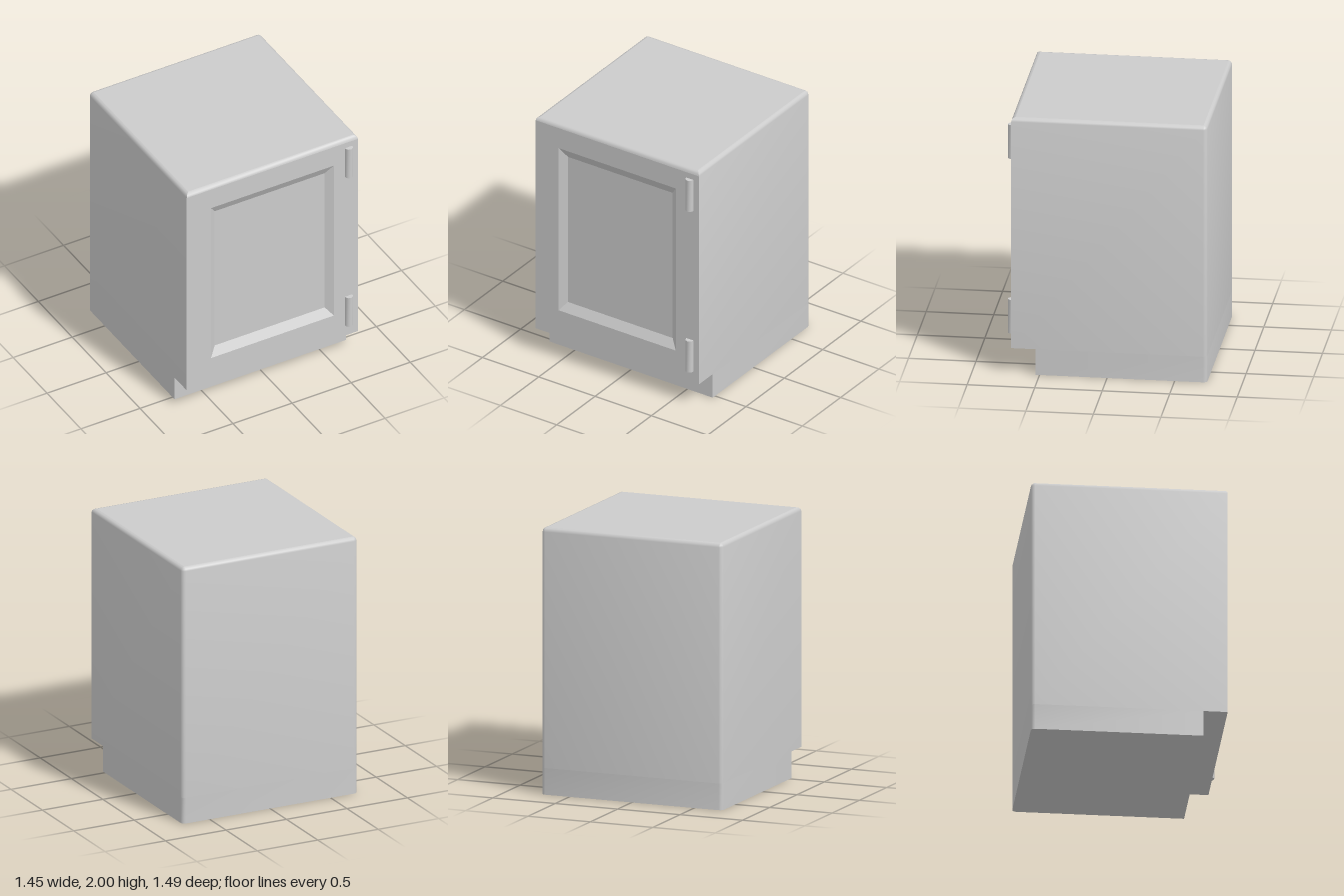
import * as THREE from 'three';
import { toCreasedNormals } from 'three/addons/utils/BufferGeometryUtils.js';

const W = 0.725, BACK = -0.74, FRONT = 0.71, PLINTH = 0.53, KICK = 0.2, TOP = 2, R = 0.03;
const material = new THREE.MeshStandardMaterial({ color: 0xcccccc });

function add(parent, name, geometry) {
  const mesh = new THREE.Mesh(geometry, material);
  mesh.name = name;
  parent.add(mesh);
  return mesh;
}

// Skin between successive rings of points, closed around the ring if asked
function loft(rings, closed) {
  const n = rings[0].length, index = [];
  for (let i = 0; i < rings.length - 1; i++) {
    for (let j = 0; j < (closed ? n : n - 1); j++) {
      const a = i * n + j, b = i * n + (j + 1) % n;
      index.push(a, b, b + n, a, b + n, a + n);
    }
  }
  const geometry = new THREE.BufferGeometry().setFromPoints(rings.flat());
  geometry.setIndex(index);
  geometry.computeVertexNormals();
  return toCreasedNormals(geometry, 0.7);
}

// Plan outline: square front corners, rounded back corners; runs front right, back, front left
function outline(y, front, inset = 0) {
  const r = Math.max(R - inset, 0.001), points = [new THREE.Vector3(W - inset, y, front - inset)];
  for (const side of [1, -1]) {
    for (let k = 0; k <= 3; k++) {
      const a = (side > 0 ? k : 3 - k) * Math.PI / 6;
      points.push(new THREE.Vector3(side * (W - R + r * Math.cos(a)), y, BACK + R - r * Math.sin(a)));
    }
  }
  points.push(new THREE.Vector3(-W + inset, y, front - inset));
  return points;
}

// Flat horizontal cover over an outline
function cap(points, up) {
  const s = up ? -1 : 1;
  const shape = new THREE.Shape(points.map(p => new THREE.Vector2(p.x, s * p.z)));
  return new THREE.ShapeGeometry(shape).rotateX(s * Math.PI / 2).translate(0, points[0].y, 0);
}

// Upright rectangle, counter-clockwise from the front
const rect = (x, y0, y1, z) =>
  [[-x, y0], [x, y0], [x, y1], [-x, y1]].map(([px, py]) => new THREE.Vector3(px, py, z));

export function createModel() {
  const model = new THREE.Group();

  // Cabinet walls rolling over into the top
  const cabinet = new THREE.Group();
  cabinet.name = 'cabinet';
  model.add(cabinet);
  const rings = [outline(KICK, FRONT)];
  for (let k = 0; k <= 3; k++) {
    const a = k * Math.PI / 6;
    rings.push(outline(TOP - R + R * Math.sin(a), FRONT, R * (1 - Math.cos(a))));
  }
  add(cabinet, 'walls', loft(rings, false));
  add(cabinet, 'frontTopEdge', loft(rings.slice(1).map(r => [r[r.length - 1], r[0]]), false));
  add(cabinet, 'top', cap(rings[rings.length - 1], true));
  add(cabinet, 'underside', cap(outline(KICK, FRONT), false));

  // Recessed plinth
  const plinth = new THREE.Group();
  plinth.name = 'plinth';
  model.add(plinth);
  add(plinth, 'plinthWalls', loft([outline(0, PLINTH), outline(KICK, PLINTH)], true));
  add(plinth, 'plinthBase', cap(outline(0, PLINTH), false));

  // Door face with a sunken panel and sloping borders
  const door = new THREE.Group();
  door.name = 'door';
  model.add(door);
  const outer = rect(0.52, 0.42, 1.8, FRONT), inner = rect(0.465, 0.49, 1.725, FRONT - 0.04);
  const face = new THREE.Shape(rect(W, KICK, TOP - R, 0));
  face.holes.push(new THREE.Path(outer));
  add(door, 'doorFrame', new THREE.ShapeGeometry(face).translate(0, 0, FRONT));
  add(door, 'panelSlopes', loft([outer, inner], true));
  add(door, 'panel', new THREE.ShapeGeometry(new THREE.Shape(inner)).translate(0, 0, FRONT - 0.04));

  // Hinge barrels
  for (const [name, y] of [['upperHinge', 1.793], ['lowerHinge', 0.426]]) {
    const barrel = toCreasedNormals(new THREE.CylinderGeometry(0.031, 0.031, 0.264, 12), 0.7);
    add(model, name, barrel).position.set(0.645, y, 0.714);
  }
  return model;
}
